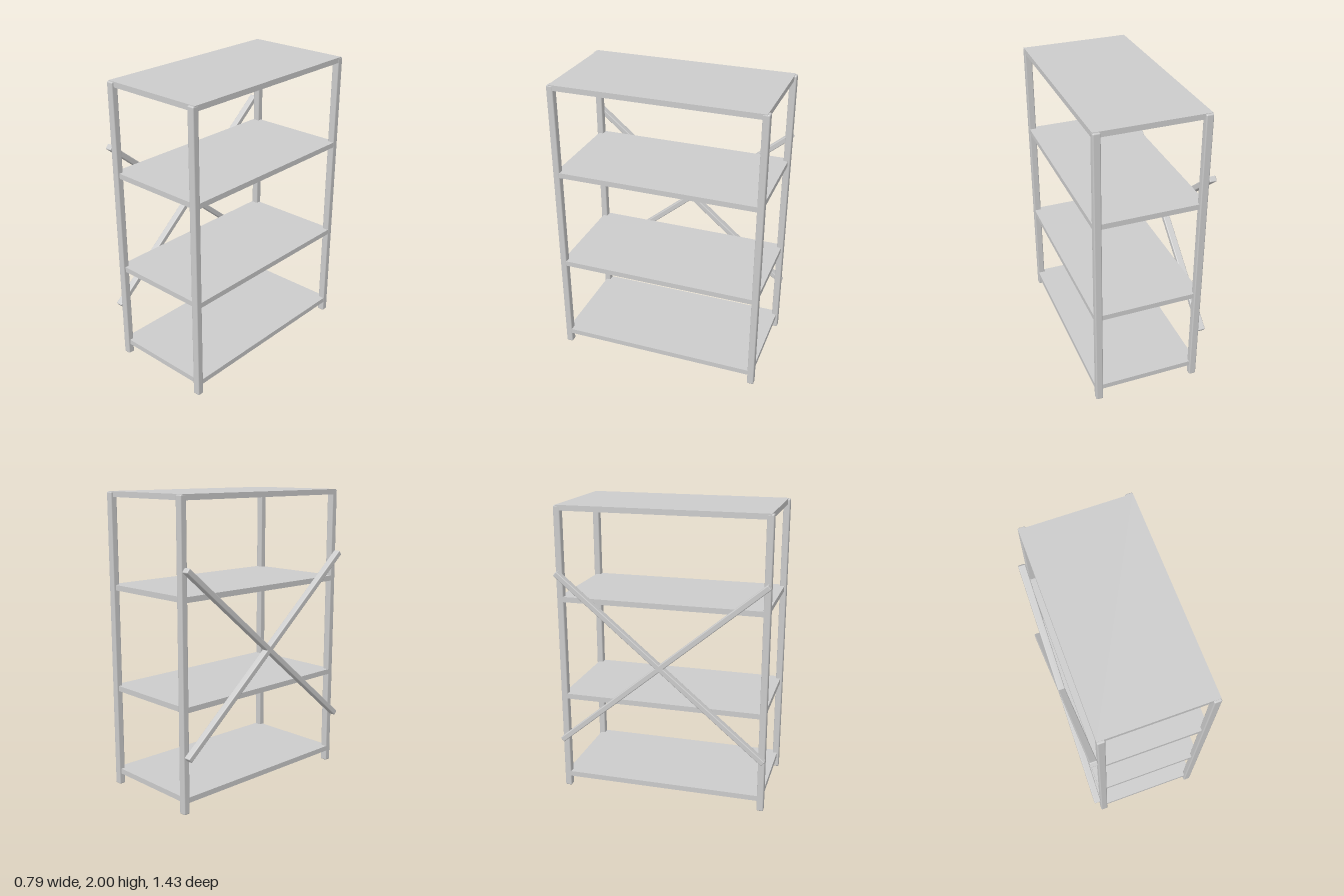
import * as THREE from 'three';
import { RoundedBoxGeometry } from 'three/addons/geometries/RoundedBoxGeometry.js';

const material = new THREE.MeshStandardMaterial({ color: 0xcccccc });

function add(group, name, geometry, x, y, z) {
  const mesh = new THREE.Mesh(geometry, material);
  mesh.name = name;
  mesh.position.set(x, y, z);
  group.add(mesh);
  return mesh;
}

export function createModel() {
  const model = new THREE.Group();
  model.name = 'shelvingUnit';

  // Four upright posts with softened edges
  const postGeometry = new RoundedBoxGeometry(0.049, 1.997, 0.046, 2, 0.008);
  for (const [side, x] of [['Right', -0.321], ['Left', 0.369]]) {
    for (const [end, z] of [['front', 0.688], ['back', -0.696]]) {
      add(model, `${end}${side}Post`, postGeometry, x, 0.9985, z);
    }
  }

  // Four shelves, the top one capping the posts
  const shelfGeometry = new THREE.BoxGeometry(0.737, 0.036, 1.4);
  [0.093, 0.687, 1.376, 1.982].forEach((y, i) => {
    add(model, `shelf${i + 1}`, shelfGeometry, 0.0235, y, -0.004);
  });

  // Crossed braces on the outside of the right-hand posts
  const braceGeometry = new RoundedBoxGeometry(0.048, 0.037, 1.846, 2, 0.006);
  const braceAngle = THREE.MathUtils.degToRad(40);
  for (const [name, sign] of [['risingBrace', 1], ['fallingBrace', -1]]) {
    const brace = add(model, name, braceGeometry, -0.3715, 0.967, -0.001);
    brace.rotation.x = sign * braceAngle;
  }

  return model;
}
